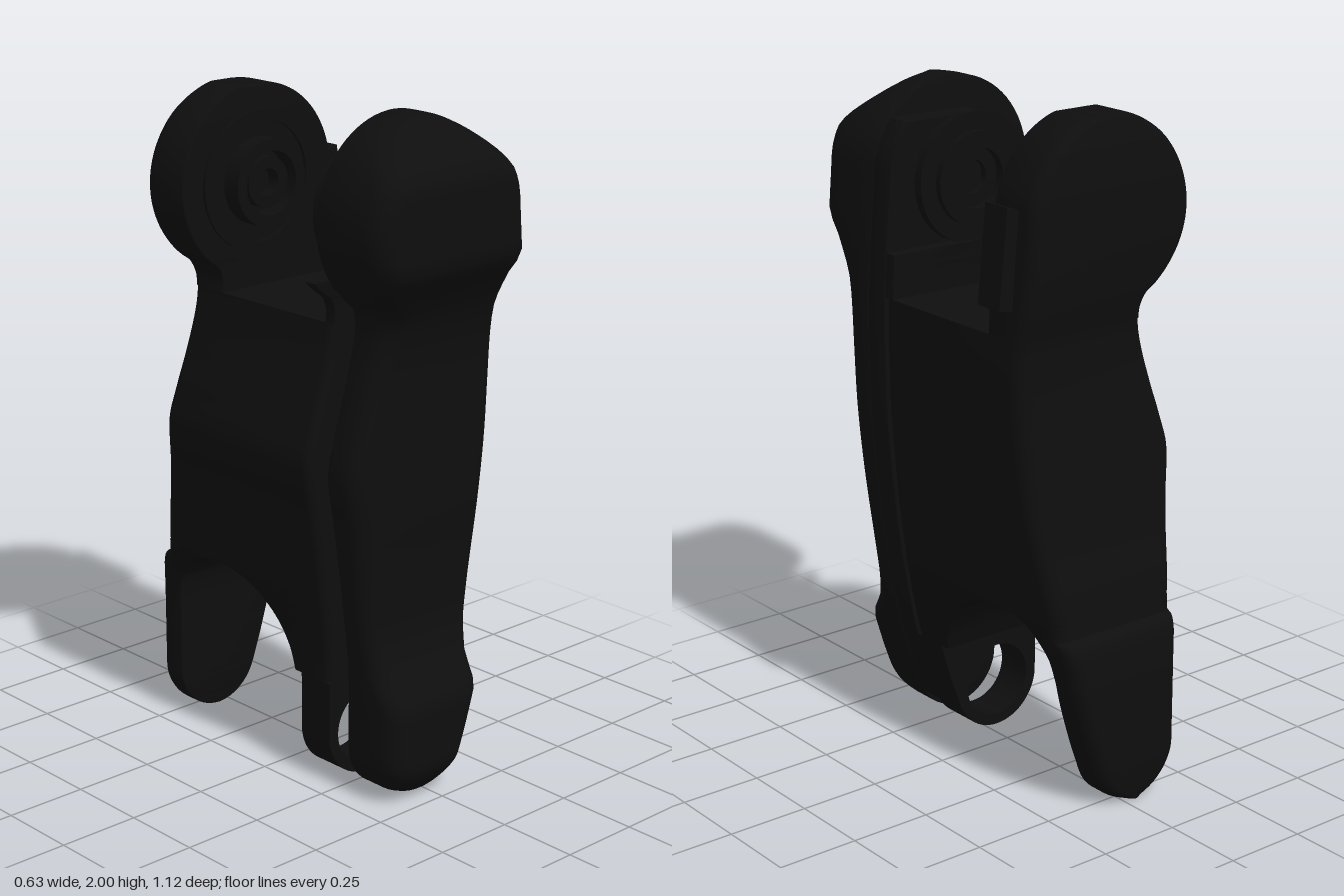
import * as THREE from 'three';
import { toCreasedNormals } from 'three/addons/utils/BufferGeometryUtils.js';

const material = new THREE.MeshStandardMaterial({ color: 0x0e0e0e, side: THREE.DoubleSide });

// Smooth monotone curve through [y, value] pairs
function curve(p) {
  const d = p.slice(1).map((b, i) => (b[1] - p[i][1]) / (b[0] - p[i][0]));
  const m = p.map((_, i) => {
    const a = d[i - 1] ?? d[i], b = d[i] ?? d[i - 1];
    return a * b <= 0 ? 0 : (2 * a * b) / (a + b);
  });
  return y => {
    if (y <= p[0][0]) return p[0][1];
    if (y >= p[p.length - 1][0]) return p[p.length - 1][1];
    let i = 0;
    while (y > p[i + 1][0]) i++;
    const h = p[i + 1][0] - p[i][0], t = (y - p[i][0]) / h, s = 1 - t;
    return p[i][1] * (1 + 2 * t) * s * s + p[i + 1][1] * (3 - 2 * t) * t * t
      + h * (m[i] * t * s * s - m[i + 1] * t * t * s);
  };
}

// Outline seen from the front: round head, bulged waist, round foot
const FOOT = { x: -0.04, y: 0.15, r: 0.15 }, HEAD = { x: -0.03, y: 1.715, r: 0.285 };
const half = (c, y) => Math.sqrt(Math.max(0, c.r * c.r - (y - c.y) ** 2));
const leftTable = curve([[0.15, -0.19], [0.35, -0.19], [0.6, -0.215], [0.85, -0.25], [1, -0.272],
  [1.1, -0.25], [1.2, -0.22], [1.35, -0.18], [1.43, -0.168], [1.47, -0.18], [1.5, -0.217]]);
const rightTable = curve([[0.1, 0.102], [0.2, 0.137], [0.35, 0.18], [0.6, 0.228], [0.85, 0.258],
  [1.1, 0.276], [1.3, 0.279], [1.45, 0.273], [1.78, 0.248]]);
const minX = y => y < 0.15 ? FOOT.x - half(FOOT, y) : y > 1.5 ? HEAD.x - half(HEAD, y) : leftTable(y);
const maxX = y => y < 0.1 ? FOOT.x + half(FOOT, y)
  : y > 1.78 ? HEAD.x + half(HEAD, y) : rightTable(y);

// Contours seen from the side
const frontZ = curve([[0, 0.41], [0.03, 0.455], [0.12, 0.5], [0.29, 0.5], [0.4, 0.43], [0.5, 0.395],
  [0.6, 0.39], [0.9, 0.405], [1.3, 0.42], [1.42, 0.445], [1.53, 0.505], [1.61, 0.56], [1.83, 0.56],
  [1.95, 0.455], [2, 0.4]]);
const backZ = curve([[0, -0.55], [0.15, -0.56], [0.35, -0.56], [0.48, -0.55], [0.525, -0.535],
  [0.54, -0.51], [0.62, -0.5], [0.8, -0.46], [1, -0.425], [1.35, -0.4], [1.5, -0.425],
  [1.7, -0.437], [1.9, -0.43], [2, -0.415]]);
const archBack = curve([[0.4, -0.455], [0.46, -0.445], [0.51, -0.41], [0.555, -0.35], [0.572, -0.3], [0.58, -0.25]]);
const archFront = curve([[0.32, 0.07], [0.38, 0.05], [0.45, 0.01], [0.51, -0.05], [0.555, -0.13], [0.572, -0.2], [0.58, -0.25]]);

// Loft of rounded rectangles stacked from y0 to y1
function loft(name, y0, y1, { left = minX, right = maxX, back, front, rBack = 0.004, rFront = 0.004 }) {
  const rows = 72, arc = 6, pos = [], idx = [], n = 4 * (arc + 1);
  for (let i = 0; i <= rows; i++) {
    const y = y0 + (y1 - y0) * (1 - Math.cos((Math.PI * i) / rows)) / 2;
    const xa = left(y), xb = Math.max(right(y), xa), za = back(y), zb = front(y);
    for (let q = 0; q < 4; q++) {
      const isFront = q < 2, isRight = q === 0 || q === 3;
      const r = Math.min(isFront ? rFront : rBack, (xb - xa) / 2, Math.abs(zb - za) / 2);
      const cx = isRight ? xb - r : xa + r, cz = isFront ? zb - r : za + r;
      for (let k = 0; k <= arc; k++) {
        const t = (q + k / arc) * Math.PI / 2;
        pos.push(cx + r * Math.cos(t), y, cz + r * Math.sin(t));
      }
    }
  }
  for (let i = 0; i < rows; i++) for (let j = 0; j < n; j++) {
    const a = i * n + j, b = i * n + (j + 1) % n;
    idx.push(a, a + n, b, b, a + n, b + n);
  }
  const top = rows * n;
  for (let j = 1; j < n - 1; j++) idx.push(0, j, j + 1, top, top + j + 1, top + j);
  const g = new THREE.BufferGeometry();
  g.setAttribute('position', new THREE.Float32BufferAttribute(pos, 3));
  g.setIndex(idx);
  return part(name, toCreasedNormals(g, 0.6));
}

function part(name, geometry) {
  const mesh = new THREE.Mesh(geometry, material);
  mesh.name = name;
  return mesh;
}

function extrude(name, shape, z0, z1) {
  const g = new THREE.ExtrudeGeometry(shape, { depth: z1 - z0, bevelEnabled: false, curveSegments: 32 });
  return part(name, toCreasedNormals(g.translate(0, 0, z0), 0.5));
}

// Flat ring or disc facing along z, centred on a joint
function ring(name, c, outer, inner, z0, z1) {
  const s = new THREE.Shape().absarc(c.x, c.y, outer, 0, Math.PI * 2);
  if (inner) s.holes.push(new THREE.Path().absarc(c.x, c.y, inner, 0, Math.PI * 2, true));
  return extrude(name, s, z0, z1);
}

export function createModel() {
  const model = new THREE.Group();
  model.name = 'limbLink';
  const at = z => () => z;

  // Outer shell of the front arm, full height
  model.add(loft('frontArm', 0, 2, { back: at(0.3), front: frontZ, rFront: 0.07 }));

  // Web between the arms, with the arch below it
  model.add(loft('web', 0.58, 1.4, { back: backZ, front: at(0.22), rBack: 0.05, rFront: 0.03 }));
  model.add(loft('archFrontSide', 0.32, 0.58, { back: archFront, front: at(0.22), rFront: 0.03 }));
  model.add(loft('backLeg', 0, 0.58, { back: backZ, front: archBack, rBack: 0.045 }));
  model.add(loft('backHead', 1.4, 1.99, { back: backZ, front: at(-0.26), rBack: 0.045 }));

  // Spine joining the front arm to the web, leaving a channel on the other side
  const spineLeft = curve([[0, 0.07], [0.26, 0.07], [0.36, -0.08], [2, -0.08]]);
  model.add(loft('spine', 0.08, 1.9, { left: spineLeft, back: at(0.22), front: at(0.301) }));
  model.add(loft('frontHeadLip', 1.4, 1.53, { back: at(0.18), front: at(0.22) }));

  // Open bearing collar at the foot
  const collar = new THREE.Shape(), ys = [];
  for (let i = 0; i <= 32; i++) ys.push(0.16 * (1 - Math.cos((Math.PI * i) / 32)));
  ys.forEach((y, i) => i ? collar.lineTo(maxX(y), y) : collar.moveTo(maxX(y), y));
  [...ys].reverse().forEach(y => y > 0 && collar.lineTo(minX(y), y));
  collar.holes.push(new THREE.Path().absarc(FOOT.x, FOOT.y, 0.115, 0, Math.PI * 2, true));
  model.add(extrude('footCollar', collar, 0.1, 0.22));
  model.add(ring('footBearing', FOOT, 0.1, 0.07, 0.285, 0.302));

  // Stepped joint rings on the inner faces of both heads
  model.add(ring('frontJointPlate', HEAD, 0.195, 0.13, 0.19, 0.222));
  model.add(ring('frontJointRing', HEAD, 0.14, 0.09, 0.17, 0.222));
  model.add(ring('frontJointHub', HEAD, 0.1, 0.05, 0.2, 0.222));
  model.add(ring('backJointPlate', HEAD, 0.21, 0.18, -0.262, -0.25));
  model.add(ring('backJointRing', HEAD, 0.13, 0.095, -0.262, -0.2));
  model.add(ring('backJointHub', HEAD, 0.075, 0.04, -0.262, -0.215));

  // Slanted clip on the side of the back head
  const clip = new THREE.Shape([[0.24, 1.48], [0.316, 1.492], [0.288, 1.775], [0.24, 1.76]]
    .map(p => new THREE.Vector2(...p)));
  model.add(extrude('sideClip', clip, -0.36, -0.265));
  return model;
}
